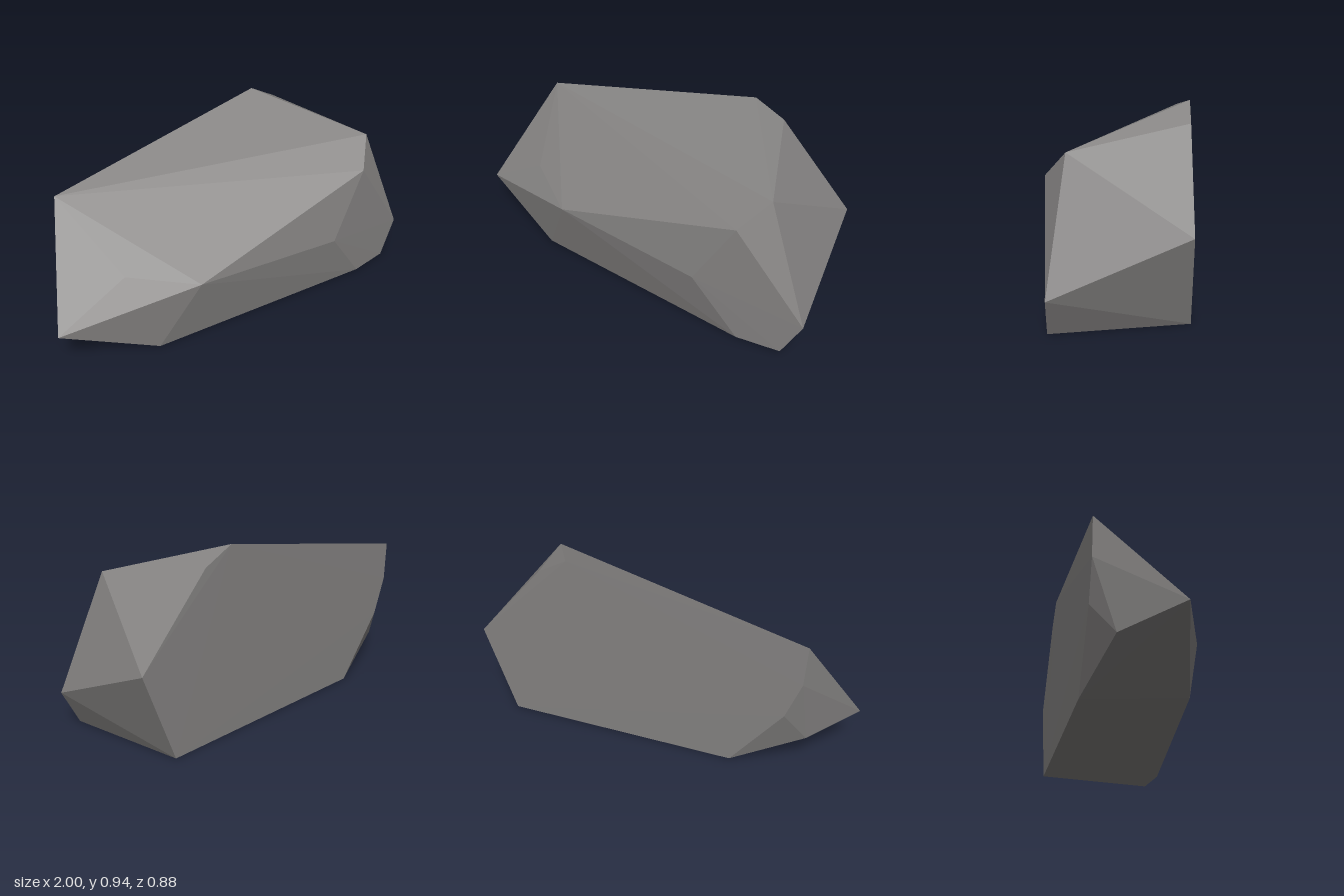
import * as THREE from 'three';
import { ConvexGeometry } from 'three/addons/geometries/ConvexGeometry.js';

const stone = new THREE.MeshStandardMaterial({ color: 0x858382 });
stone.name = 'stone grey';

// Corners of the boulder, grouped by region
const corners = [
  // flat base
  [-0.53, 0, -0.10], [0.66, 0, -0.40], [0.91, 0, 0.18], [0.70, 0, 0.25], [-0.52, 0, 0.38],
  // left-hand end, seen from the front
  [-1, 0.22, 0.37], [-0.85, 0.16, 0.08], [-0.78, 0.33, -0.04], [-0.85, 0.52, -0.023], [-0.86, 0.72, -0.02],
  // front bulge
  [-0.65, 0.41, 0.31], [-0.32, 0.35, 0.44], [0.48, 0.30, 0.33], [0.67, 0.64, 0.26],
  // top ridge
  [0.76, 0.77, 0.13], [0.31, 0.94, -0.315], [0.46, 0.86, -0.35],
  // right-hand end, seen from the front
  [0.82, 0.455, -0.44], [1, 0.19, 0.15],
];

export function createModel() {
  const group = new THREE.Group();
  group.name = 'boulder';

  // Faceted convex stone; every face keeps its own flat normal
  const geometry = new ConvexGeometry(corners.map((c) => new THREE.Vector3(...c)));
  const rock = new THREE.Mesh(geometry, stone);
  rock.name = 'rock';
  group.add(rock);
  return group;
}
